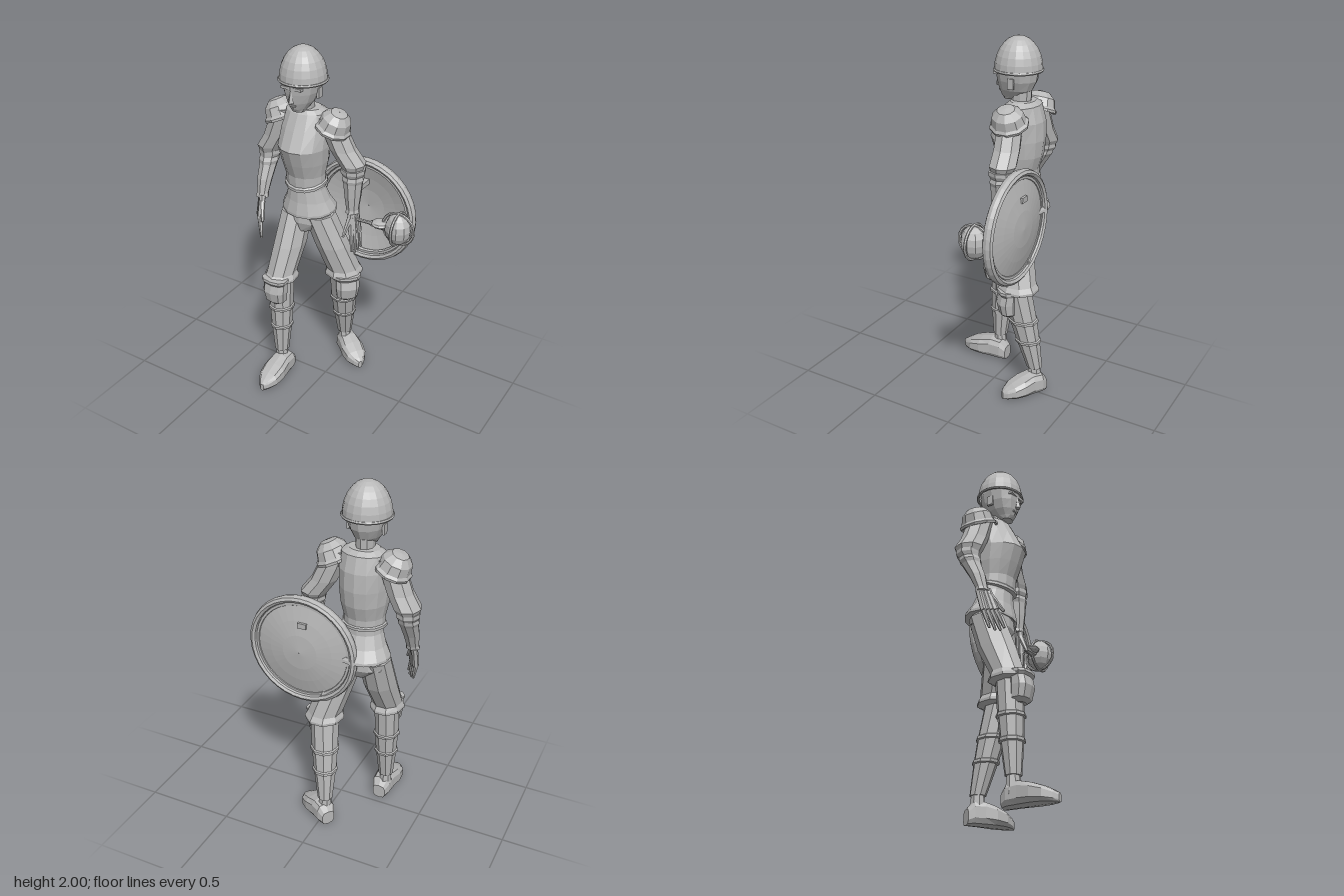
import * as THREE from 'three';

const steel = new THREE.MeshStandardMaterial({ color: 0xb8b8b8, flatShading: true, side: THREE.DoubleSide });
steel.name = 'grey steel';

const CX = -0.165; // body axis

// Skin stacked horizontal sections, bottom to top: [x, y, halfWidth, zFront, zBack, frontDip]
function loft(rows, sides = 10, power = 1) {
  const list = rows[0][1] > rows[rows.length - 1][1] ? [...rows].reverse() : rows;
  const bend = (v) => Math.sign(v) * Math.abs(v) ** power;
  const pos = [], idx = [];
  for (const [x, y, rx, zf, zb, dip = 0] of list) {
    for (let j = 0; j < sides; j++) {
      const t = (j / sides) * Math.PI * 2, c = Math.cos(t);
      pos.push(x + rx * bend(Math.sin(t)), y - dip * Math.max(0, c), (zf + zb) / 2 + ((zf - zb) / 2) * bend(c));
    }
  }
  const n = list.length;
  for (let i = 0; i < n - 1; i++) {
    for (let j = 0; j < sides; j++) {
      const k = (j + 1) % sides, a = i * sides;
      idx.push(a + j, a + k, a + sides + k, a + j, a + sides + k, a + sides + j);
    }
  }
  for (let j = 1; j < sides - 1; j++) {
    const a = (n - 1) * sides;
    idx.push(0, j + 1, j, a, a + j, a + j + 1);
  }
  const g = new THREE.BufferGeometry();
  g.setAttribute('position', new THREE.Float32BufferAttribute(pos, 3));
  g.setIndex(idx);
  const flat = g.toNonIndexed();
  flat.computeVertexNormals();
  return flat;
}

// Tapered rod between two points
function rod(a, b, ra, rb, sides = 6) {
  const d = b.clone().sub(a);
  const g = new THREE.CylinderGeometry(rb, ra, d.length(), sides);
  g.applyQuaternion(new THREE.Quaternion().setFromUnitVectors(new THREE.Vector3(0, 1, 0), d.normalize()));
  const m = a.clone().add(b).multiplyScalar(0.5);
  return g.translate(m.x, m.y, m.z);
}

export function createModel() {
  const root = new THREE.Group();
  const add = (name, geo, parent = root) => {
    const m = new THREE.Mesh(geo, steel);
    m.name = name;
    parent.add(m);
    return m;
  };
  const group = (name, x = 0, y = 0, z = 0) => {
    const g = new THREE.Group();
    g.name = name;
    g.position.set(x, y, z);
    root.add(g);
    return g;
  };
  const V = (x, y, z) => new THREE.Vector3(x, y, z);
  const body = (rows) => rows.map((r) => [CX, ...r]);

  // Head and neck
  add('head', loft(body([
    [1.665, 0.035, 0.03, -0.03], [1.685, 0.048, 0.045, -0.09], [1.72, 0.072, 0.058, -0.13],
    [1.77, 0.093, 0.068, -0.155], [1.83, 0.105, 0.075, -0.165], [1.88, 0.1, 0.06, -0.155]]), 12));
  add('neck', loft(body([[1.6, 0.062, 0, -0.15], [1.66, 0.048, -0.01, -0.125], [1.74, 0.05, 0, -0.13]]), 10));
  const nose = add('nose', new THREE.ConeGeometry(0.018, 0.075, 4));
  nose.position.set(CX, 1.765, 0.068);
  add('brow', new THREE.BoxGeometry(0.12, 0.014, 0.03)).position.set(CX, 1.805, 0.055);
  add('mouth', new THREE.BoxGeometry(0.034, 0.008, 0.012)).position.set(CX, 1.708, 0.052);
  for (const s of [-1, 1]) {
    add('ear', new THREE.BoxGeometry(0.014, 0.055, 0.035)).position.set(CX + s * 0.094, 1.765, -0.055);
  }

  // Helmet: dome with a rolled rim
  const dome = new THREE.SphereGeometry(0.126, 18, 7, 0, Math.PI * 2, 0, Math.PI / 2);
  const helmet = add('helmet', dome);
  helmet.scale.set(1, 1.39, 1.02);
  helmet.position.set(CX, 1.825, -0.05);
  const rim = add('helmetRim', new THREE.TorusGeometry(0.126, 0.008, 6, 24).rotateX(Math.PI / 2));
  rim.position.set(CX, 1.825, -0.05);

  // Torso
  add('breastplate', loft(body([
    [1.665, 0.085, -0.015, -0.145], [1.645, 0.12, 0.005, -0.175], [1.56, 0.135, 0.05, -0.2],
    [1.46, 0.138, 0.1, -0.205], [1.37, 0.128, 0.07, -0.195], [1.29, 0.112, 0.04, -0.17],
    [1.255, 0.112, 0.036, -0.17, 0.025], [1.25, 0.121, 0.044, -0.178, 0.03],
    [1.235, 0.121, 0.044, -0.178, 0.03], [1.232, 0.105, 0.03, -0.165, 0.03]]), 14));
  add('tunic', loft(body([
    [1.3, 0.1, 0.025, -0.16], [1.2, 0.105, 0.02, -0.165], [1.13, 0.128, 0.025, -0.195],
    [1.075, 0.158, 0.038, -0.232, 0.015], [1.06, 0.158, 0.038, -0.235, 0.015], [1.058, 0.14, 0.025, -0.22]]), 14));
  add('hips', loft(body([[1.1, 0.13, 0.015, -0.19], [1, 0.15, 0.02, -0.19], [0.94, 0.06, 0, -0.15]]), 12));

  // Shoulder plates
  const plate = [[0.001, 0.09], [0.045, 0.083], [0.078, 0.05], [0.088, 0.005], [0.1, -0.008], [0.098, -0.022], [0.086, -0.02]]
    .map(([r, y]) => new THREE.Vector2(r, y)).reverse();
  for (const s of [-1, 1]) {
    const p = add('shoulderPlate', new THREE.LatheGeometry(plate, 10));
    p.position.set(CX + s * 0.163, 1.585, -0.085);
    p.rotation.z = -s * 0.4;
    p.scale.z = 1.08;
  }

  // Arms: sleeve and flared gauntlet
  add('rightSleeve', loft([
    [-0.3, 1.63, 0.06, -0.01, -0.15], [-0.335, 1.54, 0.07, -0.01, -0.155], [-0.365, 1.46, 0.07, -0.01, -0.16],
    [-0.408, 1.385, 0.072, -0.005, -0.17], [-0.412, 1.35, 0.055, -0.02, -0.15]], 8));
  add('leftSleeve', loft([
    [-0.03, 1.63, 0.06, -0.02, -0.15], [0.01, 1.54, 0.07, -0.025, -0.165], [0.045, 1.46, 0.072, -0.03, -0.175],
    [0.1, 1.385, 0.074, -0.035, -0.185], [0.105, 1.35, 0.055, -0.05, -0.165]], 8));
  add('rightGauntlet', loft([
    [-0.412, 1.36, 0.064, -0.02, -0.155], [-0.412, 1.34, 0.064, -0.02, -0.155], [-0.412, 1.32, 0.053, -0.02, -0.14],
    [-0.412, 1.3, 0.058, -0.01, -0.135], [-0.412, 1.28, 0.05, -0.01, -0.12], [-0.412, 1.2, 0.044, 0.02, -0.07],
    [-0.411, 1.12, 0.034, 0.035, -0.03], [-0.411, 1.1, 0.04, 0.045, -0.025]], 8));
  add('leftGauntlet', loft([
    [0.107, 1.36, 0.068, -0.035, -0.18], [0.107, 1.34, 0.068, -0.035, -0.18], [0.108, 1.32, 0.056, -0.045, -0.168],
    [0.108, 1.3, 0.062, -0.04, -0.172], [0.109, 1.28, 0.053, -0.045, -0.165], [0.11, 1.2, 0.045, -0.05, -0.155],
    [0.111, 1.12, 0.034, -0.06, -0.14], [0.111, 1.1, 0.04, -0.055, -0.145]], 8));

  // Hands: flat palm, four fingers and a thumb spread along the across direction
  function hand(name, wrist, knuckle, tip, across, thumbTip) {
    const g = group(name);
    for (let i = 0; i < 4; i++) {
      const o = (i - 1.5) * 0.021;
      const k = knuckle.clone().addScaledVector(across, o);
      const end = tip.clone().addScaledVector(across, o * 1.25).lerp(k, Math.abs(i - 1.6) * 0.12);
      add('palm', rod(wrist.clone().addScaledVector(across, o * 0.75), k, 0.018, 0.017), g);
      add('finger', rod(k, end, 0.0145, 0.007), g);
    }
    const base = wrist.clone().lerp(knuckle, 0.25).addScaledVector(across, 0.025);
    add('thumb', rod(base, thumbTip, 0.018, 0.008), g);
  }
  hand('rightHand', V(-0.411, 1.11, 0.01), V(-0.405, 0.985, 0.05), V(-0.375, 0.87, 0.085), V(0.6, 0.1, 0.7).normalize(), V(-0.35, 0.99, 0.1));
  hand('leftHand', V(0.112, 1.11, -0.1), V(0.125, 0.97, -0.105), V(0.135, 0.84, -0.11), V(-0.2, 0, 0.98), V(0.095, 0.97, -0.025));

  // Legs: trousers with a flared knee cuff, then banded greaves
  add('rightThigh', loft([
    [-0.235, 1.04, 0.085, 0.02, -0.18], [-0.24, 0.85, 0.09, 0.1, -0.115], [-0.252, 0.69, 0.085, 0.16, -0.025],
    [-0.252, 0.665, 0.096, 0.185, -0.04], [-0.252, 0.65, 0.096, 0.185, -0.04], [-0.25, 0.635, 0.07, 0.14, -0.01]], 9));
  add('leftThigh', loft([
    [-0.095, 1.04, 0.085, 0.01, -0.19], [-0.03, 0.85, 0.095, -0.02, -0.22], [0.018, 0.69, 0.095, -0.06, -0.265],
    [0.02, 0.665, 0.108, -0.05, -0.282], [0.02, 0.65, 0.108, -0.05, -0.282], [0.02, 0.635, 0.08, -0.07, -0.25]], 9));
  function greave(name, knee, ankle) {
    const steps = [[0, 0], [0.36, 0], [0.37, 0.008], [0.4, 0.008], [0.41, 0], [0.62, 0], [0.63, 0.008], [0.66, 0.008], [0.67, 0], [1, 0]];
    const rows = steps.map(([t, f]) => {
      const r = knee.map((v, i) => v + (ankle[i] - v) * t);
      const swell = f + 0.008 * Math.sin(Math.PI * t);
      return [r[0], r[1], r[2] + swell, r[3] + swell, r[4] - swell];
    });
    add(name, loft(rows, 9));
    add('ankle', loft([[ankle[0], 0.17, 0.033, ankle[3] - 0.01, ankle[4] + 0.01], [ankle[0], 0.06, 0.04, ankle[3], ankle[4]]], 8));
  }
  greave('rightGreave', [-0.25, 0.65, 0.07, 0.15, 0], [-0.245, 0.155, 0.042, 0.14, 0.055]);
  greave('leftGreave', [0.025, 0.65, 0.08, -0.07, -0.24], [-0.02, 0.155, 0.042, -0.21, -0.3]);

  // Knee plates
  const knee = loft([
    [0, -0.085, 0.035, 0.035, -0.04], [0, -0.065, 0.062, 0.055, -0.04], [0, 0, 0.07, 0.07, -0.04],
    [0, 0.05, 0.07, 0.058, -0.04], [0, 0.065, 0.078, 0.068, -0.04], [0, 0.08, 0.078, 0.066, -0.04]], 10, 0.8);
  add('rightKneePlate', knee).position.set(-0.245, 0.6, 0.132);
  const lk = add('leftKneePlate', knee);
  lk.position.set(0.062, 0.585, -0.13);
  lk.rotation.y = 0.75;

  // Shoes: sections run from heel to toe
  const shoe = loft([
    [0, 0, 0.038, 0, -0.085], [0, 0.035, 0.055, 0, -0.125], [0, 0.1, 0.06, 0, -0.13], [0, 0.17, 0.07, 0, -0.11],
    [0, 0.235, 0.062, 0, -0.085], [0, 0.28, 0.035, 0, -0.06], [0, 0.302, 0.012, 0, -0.045]], 10, 0.65).rotateX(Math.PI / 2);
  add('rightShoe', shoe).position.set(-0.228, 0, 0.038);
  const ls = add('leftShoe', shoe);
  ls.position.set(-0.06, 0, -0.298);
  ls.rotation.y = 0.96;
  ls.scale.z = 0.88;

  // Shield: shallow disc bulging backwards, with a doubled rim
  const shield = group('shield', 0.125, 1.068, -0.207);
  const curve = [[0.29, 0], [0.24, 0.012], [0.18, 0.026], [0.1, 0.04], [0.001, 0.048]].map(([r, y]) => new THREE.Vector2(r, y));
  add('shieldDisc', new THREE.LatheGeometry(curve, 32).rotateX(-Math.PI / 2), shield);
  const outer = add('shieldRim', new THREE.TorusGeometry(0.294, 0.02, 8, 36), shield);
  outer.scale.z = 1.5;
  add('shieldInnerRim', new THREE.TorusGeometry(0.268, 0.013, 6, 36), shield);
  add('shieldStrap', new THREE.BoxGeometry(0.05, 0.03, 0.12), shield).position.set(-0.015, 0.16, 0.02);

  // Mace held sideways: shaft, tapered socket, ball and two crossed hoops
  const mace = group('mace', 0.385, 1.07, -0.11);
  add('maceShaft', rod(V(-0.3, -0.02, 0), V(-0.05, -0.01, 0), 0.009, 0.011, 8), mace);
  add('maceSocket', rod(V(-0.165, -0.014, 0), V(-0.075, -0.008, 0), 0.016, 0.026, 8), mace);
  add('maceCollar', new THREE.SphereGeometry(0.052, 10, 6), mace).position.set(-0.105, 0, 0);
  mace.children[2].scale.set(1, 0.4, 1);
  add('maceBall', new THREE.SphereGeometry(0.073, 10, 8), mace).scale.set(1, 1.25, 1);
  add('maceHoop', new THREE.TorusGeometry(0.092, 0.008, 6, 20), mace);
  add('maceHoop', new THREE.TorusGeometry(0.09, 0.008, 6, 20).rotateY(Math.PI / 2), mace);

  return root;
}
